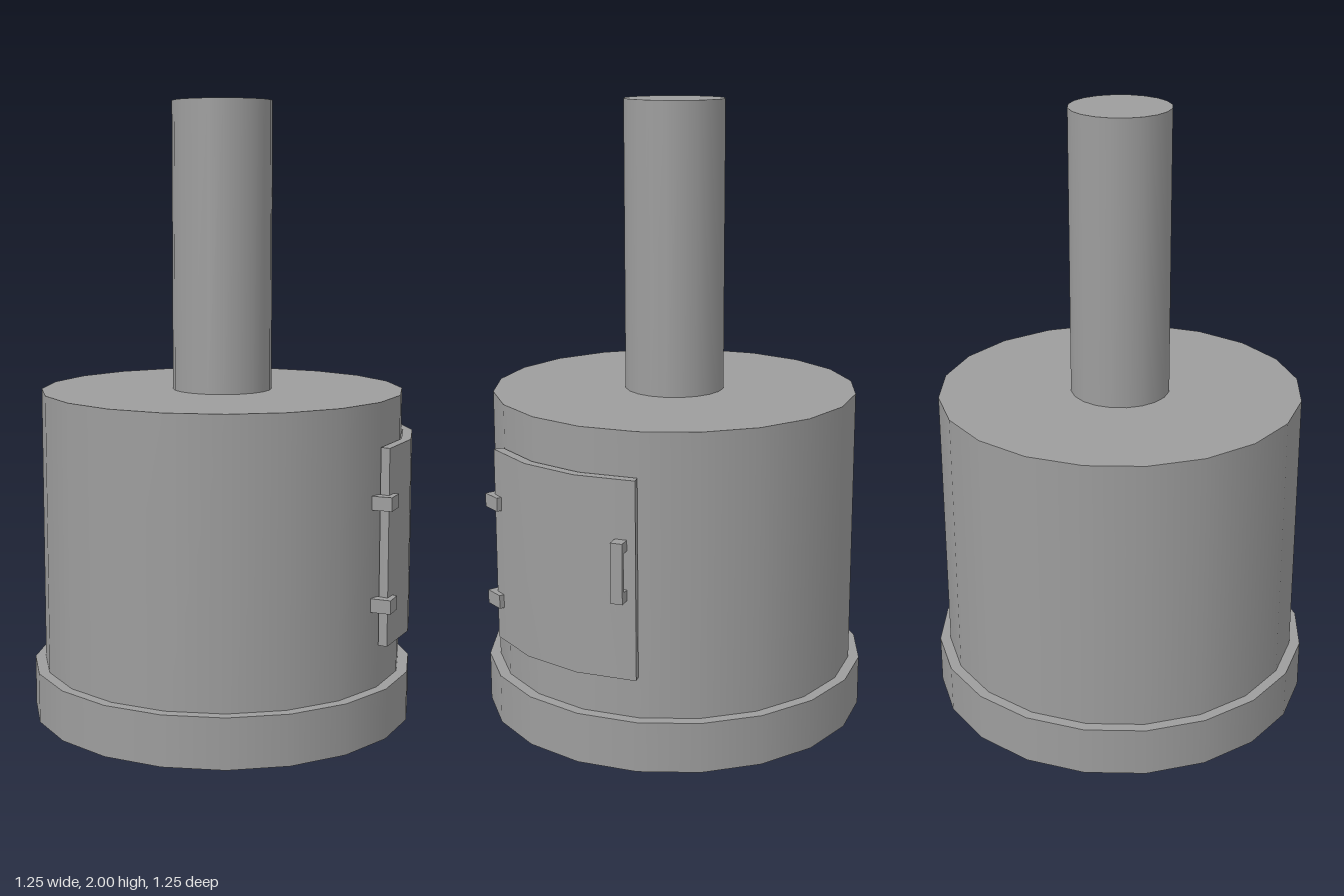
import * as THREE from 'three';
import { toCreasedNormals } from 'three/addons/utils/BufferGeometryUtils.js';

const SIDES = 20;
const STEP = (Math.PI * 2) / SIDES;
const TURN = THREE.MathUtils.degToRad(6.4); // turn of the corners about y
const CX = -0.003; // axis of the drum

export function createModel() {
  const model = new THREE.Group();
  const mat = new THREE.MeshStandardMaterial({ color: 0x9d9d9d });

  function add(parent, name, geo, x = 0, y = 0, z = 0) {
    const mesh = new THREE.Mesh(geo, mat);
    mesh.name = name;
    mesh.position.set(x, y, z);
    parent.add(mesh);
    return mesh;
  }

  // Group whose local +x points outward at the given turn about y
  function mount(name, y, turn) {
    const g = new THREE.Group();
    g.name = name;
    g.position.set(CX, y, 0);
    g.rotation.y = turn;
    model.add(g);
    return g;
  }

  // Base ring, drum and chimney
  function drum(name, radius, y0, y1) {
    const geo = new THREE.CylinderGeometry(radius, radius, y1 - y0, SIDES);
    add(model, name, geo, CX, (y0 + y1) / 2, 0).rotation.y = TURN;
  }
  drum('base', 0.628, 0, 0.163);
  drum('body', 0.593, 0.163, 1.07);
  drum('chimney', 0.162, 1.07, 2);

  // Curved door over three sides of the drum
  const angles = [-2, -1, 0, 1].map((i) => TURN + i * STEP);
  const arc = (r) => angles.map((a) => new THREE.Vector2(Math.cos(a) * r, Math.sin(a) * r));
  const outline = new THREE.Shape([...arc(0.629), ...arc(0.598).reverse()]);
  const doorGeo = new THREE.ExtrudeGeometry(outline, { depth: 0.63, bevelEnabled: false });
  doorGeo.rotateX(-Math.PI / 2);
  add(model, 'door', toCreasedNormals(doorGeo, 0.6), CX, 0.3, 0);

  // Hinges: a knuckle beside the door edge and a leaf on the door
  for (const y of [0.435, 0.76]) {
    const hinge = mount('hinge', y, THREE.MathUtils.degToRad(-18));
    add(hinge, 'hingeKnuckle', new THREE.BoxGeometry(0.065, 0.044, 0.034), 0.602, 0, 0.138);
    add(hinge, 'hingeLeaf', new THREE.BoxGeometry(0.036, 0.044, 0.036), 0.6165, 0, 0.103);
  }

  // Handle: two posts and a grip
  const handle = mount('handle', 0.65, TURN + STEP / 2);
  for (const s of [-1, 1]) {
    add(handle, 'handlePost', new THREE.BoxGeometry(0.042, 0.034, 0.038), 0.64, s * 0.078, -0.052);
  }
  add(handle, 'handleGrip', new THREE.BoxGeometry(0.014, 0.19, 0.038), 0.654, 0, -0.052);

  return model;
}
